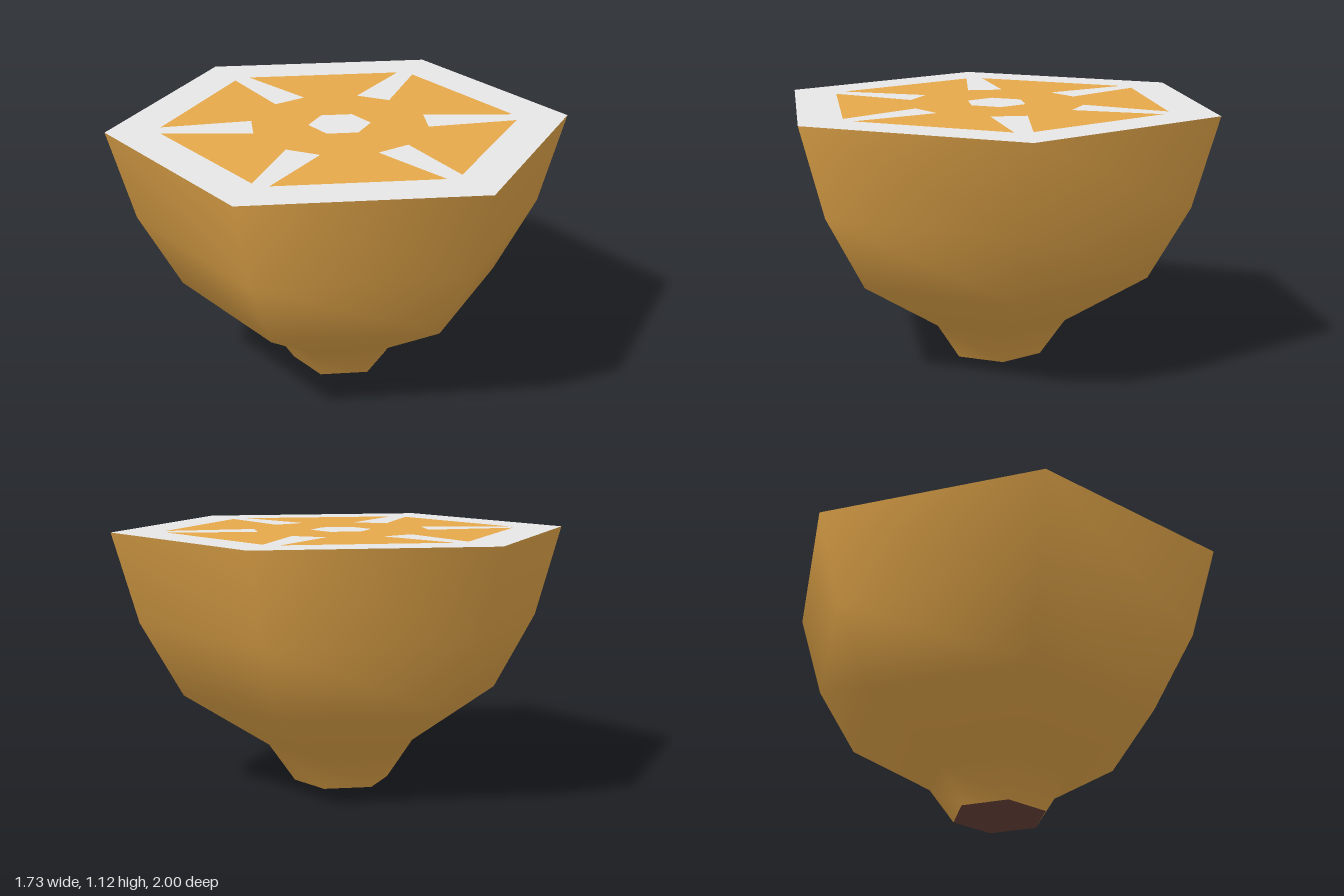
import * as THREE from 'three';

const SIDES = 6;
const HEIGHT = 1.12;
// outer skin: radius at the corners, height
const PROFILE = [[0.21, 0], [0.325, 0.165], [0.7, 0.4], [0.885, 0.725], [1, HEIGHT]];

const material = (name, color) => {
  const m = new THREE.MeshStandardMaterial({ color });
  m.name = name;
  return m;
};

// points repeated around the axis, one set per corner of the hexagon
function around(points) {
  const out = [];
  for (let i = 0; i < SIDES; i++) {
    const a = (i / SIDES) * Math.PI * 2;
    for (const [x, y] of points) out.push(new THREE.Vector2(x, y).rotateAround(new THREE.Vector2(), a));
  }
  return out;
}

const hexagon = (r) => around([[0, r]]);

export function createModel() {
  const skin = material('orange peel', 0xf0b04e);
  const pith = material('white pith', 0xf0f0f0);
  const stem = material('brown stem end', 0x70463c);

  const group = new THREE.Group();
  group.name = 'halfFruit';
  const add = (name, geometry, mat) => {
    const mesh = new THREE.Mesh(geometry, mat);
    mesh.name = name;
    group.add(mesh);
  };
  const flat = (shape, y, up = true) =>
    new THREE.ShapeGeometry(shape).rotateX(up ? -Math.PI / 2 : Math.PI / 2).translate(0, y, 0);

  // smooth six-sided peel
  add('peel', new THREE.LatheGeometry(PROFILE.map(([r, y]) => new THREE.Vector2(r, y)), SIDES), skin);

  // flesh outline with a tapering notch at every corner
  const outline = around([[0.038, 0.765], [0.078, 0.375], [-0.078, 0.375], [-0.038, 0.765]]);
  const core = hexagon(0.135);

  const flesh = new THREE.Shape(outline);
  flesh.holes.push(new THREE.Path(core));
  add('flesh', flat(flesh, HEIGHT), skin);

  // pith rim with membranes, and the pith core
  const rim = new THREE.Shape(hexagon(1));
  rim.holes.push(new THREE.Path(outline));
  add('pithRim', flat(rim, HEIGHT), pith);
  add('pithCore', flat(new THREE.Shape(core), HEIGHT), pith);

  // underside of the stem end
  add('stemEnd', flat(new THREE.Shape(hexagon(PROFILE[0][0])), 0, false), stem);

  return group;
}
